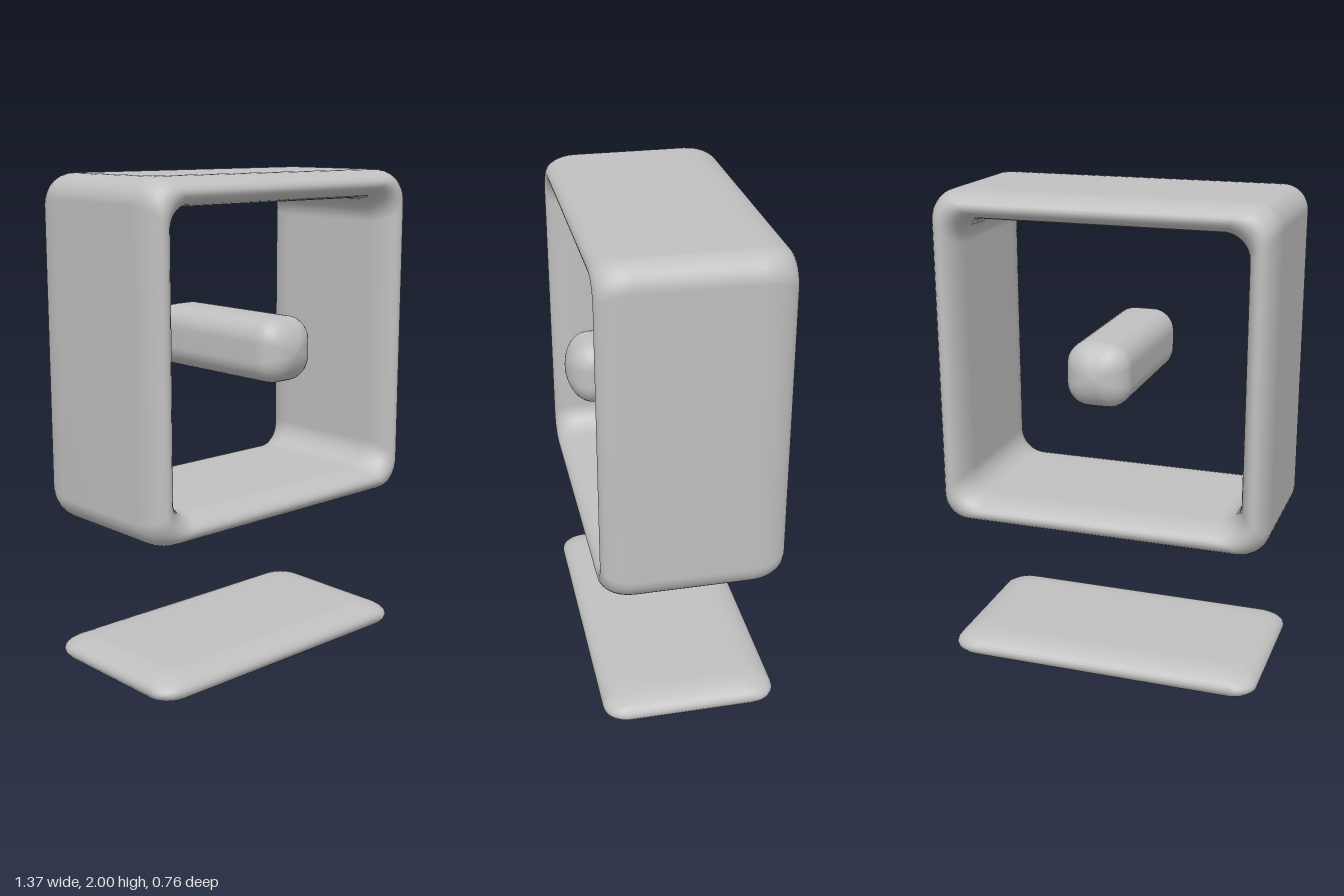
import * as THREE from 'three';

// Counter-clockwise rounded rectangle in XY at depth z
function roundedLoop(hx, hy, r, z, steps = 8) {
  const corners = [[1, 1], [-1, 1], [-1, -1], [1, -1]];
  const points = [];
  corners.forEach(([sx, sy], k) => {
    for (let i = 0; i <= steps; i++) {
      const a = (k + i / steps) * Math.PI / 2;
      points.push([sx * (hx - r) + r * Math.cos(a), sy * (hy - r) + r * Math.sin(a), z]);
    }
  });
  return points;
}

// Smooth skin over equal-length loops; either ring-shaped or capped at both ends
function loft(loops, ring) {
  const n = loops[0].length, m = loops.length;
  const positions = loops.flat(2), index = [];
  for (let i = 0; i < (ring ? m : m - 1); i++) {
    for (let j = 0; j < n; j++) {
      const k = (j + 1) % n, u = (i + 1) % m;
      const a = i * n + j, b = i * n + k, c = u * n + k, d = u * n + j;
      index.push(a, b, c, a, c, d);
    }
  }
  if (!ring) {
    const first = positions.length / 3;
    positions.push(0, 0, loops[0][0][2], 0, 0, loops[m - 1][0][2]);
    for (let j = 0; j < n; j++) {
      const k = (j + 1) % n;
      index.push(first, k, j, first + 1, (m - 1) * n + j, (m - 1) * n + k);
    }
  }
  const geometry = new THREE.BufferGeometry();
  geometry.setAttribute('position', new THREE.Float32BufferAttribute(positions, 3));
  geometry.setIndex(index);
  geometry.computeVertexNormals();
  return geometry;
}

export function createModel() {
  const group = new THREE.Group();
  const grey = new THREE.MeshStandardMaterial({ color: 0xc0c0c0 });
  grey.name = 'light grey';

  function add(name, geometry, y) {
    const mesh = new THREE.Mesh(geometry, grey);
    mesh.name = name;
    mesh.position.y = y;
    group.add(mesh);
    return mesh;
  }

  // Square frame: a long, round-ended wall section carried round a soft square
  const frameLoops = [];
  const half = 0.0565, tip = 0.13, depth = 0.36;
  for (let side = 0; side < 2; side++) {
    for (let i = 0; i <= 14; i++) {
      const a = side * Math.PI + i / 14 * Math.PI;
      const offset = half * Math.cos(a);
      const z = (side ? -1 : 1) * (depth - tip) + tip * Math.sin(a);
      frameLoops.push(roundedLoop(0.6275 + offset, 0.6265 + offset, 0.1, z));
    }
  }
  add('squareFrame', loft(frameLoops, true), 1.317);

  // Floating bar through the middle, with domed ends
  const barLoops = [];
  for (let end = -1; end <= 1; end += 2) {
    for (let i = 0; i <= 8; i++) {
      const a = (end < 0 ? i / 8 - 1 : i / 8) * Math.PI / 2;
      const s = Math.max(Math.cos(a), 0.02);
      barLoops.push(roundedLoop(0.129 * s, 0.128 * s, 0.09 * s, end * 0.282 + 0.1 * Math.sin(a)));
    }
  }
  add('centreBar', loft(barLoops, false), 1.318);

  // Thin base plate with tapered, rounded edges
  const plateLoops = [];
  for (let i = 0; i <= 14; i++) {
    const a = (i / 14 - 0.5) * Math.PI;
    const inset = 0.13 * (1 - Math.cos(a));
    plateLoops.push(roundedLoop(0.66 - inset, 0.355 - inset, 0.09, 0.059 * Math.sin(a)));
  }
  add('basePlate', loft(plateLoops, false), 0.059).rotation.x = -Math.PI / 2;

  return group;
}
